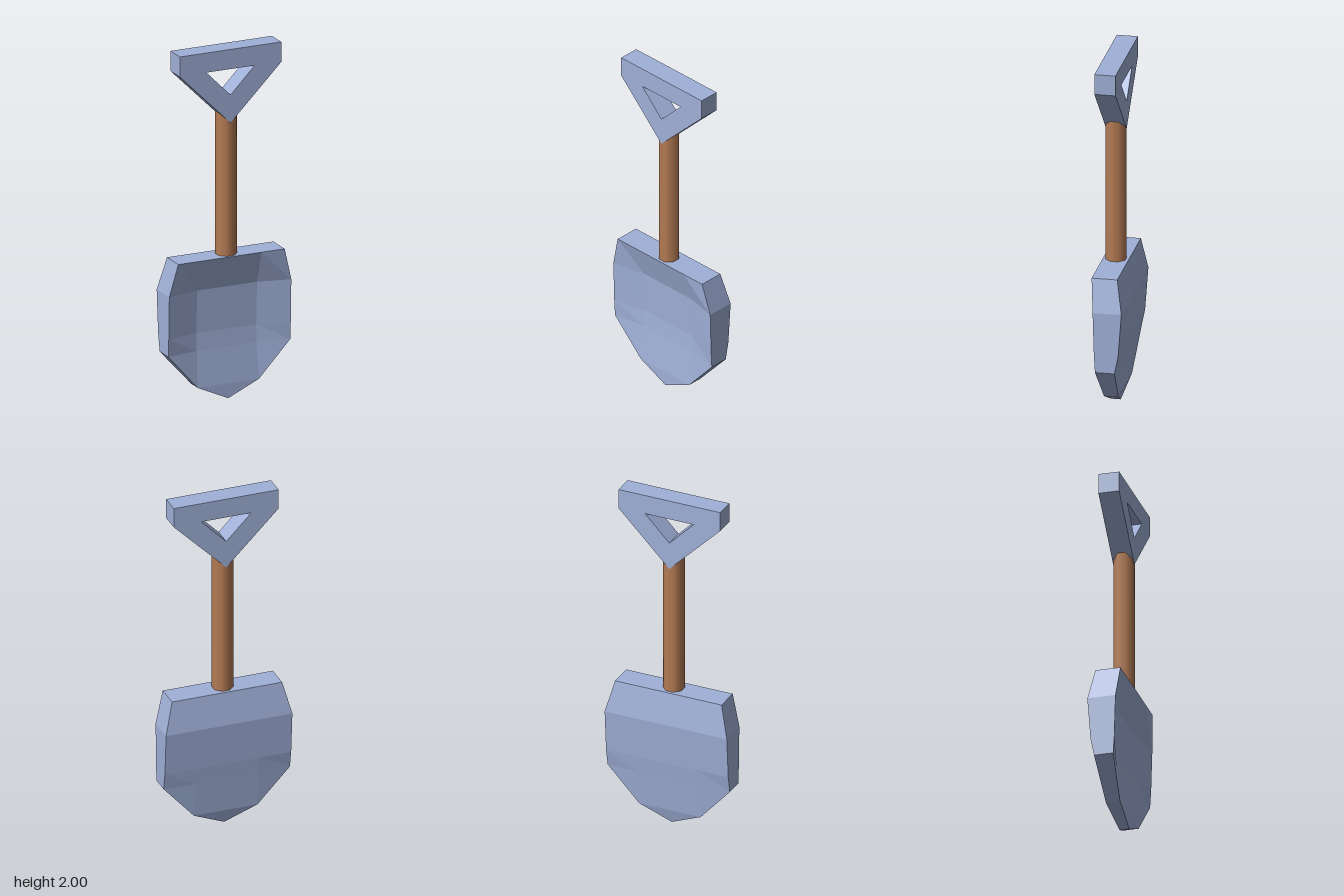
import * as THREE from 'three';

export function createModel() {
  const model = new THREE.Group();
  const steel = new THREE.MeshStandardMaterial({ color: 0xa0b0d8, flatShading: true });
  steel.name = 'blue steel';
  const wood = new THREE.MeshStandardMaterial({ color: 0xb57c54 });
  wood.name = 'brown wood';

  const add = (name, geometry, material) => {
    const mesh = new THREE.Mesh(geometry, material);
    mesh.name = name;
    model.add(mesh);
    return mesh;
  };

  // Triangular grip with a triangular opening
  const grip = new THREE.Shape([
    [-0.305, 2], [-0.305, 1.885], [0, 1.58], [0.305, 1.885], [0.305, 2],
  ].map(([x, y]) => new THREE.Vector2(x, y)));
  grip.holes.push(new THREE.Path([
    [-0.145, 1.888], [0.145, 1.888], [0, 1.74],
  ].map(([x, y]) => new THREE.Vector2(x, y))));
  const gripGeometry = new THREE.ExtrudeGeometry(grip, { depth: 0.117, bevelEnabled: false });
  gripGeometry.translate(0, 0, -0.043);
  add('grip', gripGeometry, steel);

  // Eight-sided shaft, flats facing the axes
  const shaftGeometry = new THREE.CylinderGeometry(0.059, 0.059, 0.86, 8);
  shaftGeometry.rotateY(Math.PI / 8);
  shaftGeometry.translate(0, 1.23, 0.016);
  add('shaft', shaftGeometry, wood);

  // Dished blade: [y, outer x, inner x, front z outer, front z inner, back z outer, back z inner]
  const rows = [
    [0.82, 0.32, 0.18, 0.086, 0.086, -0.056, -0.056],
    [0.635, 0.367, 0.18, 0.071, 0.03, -0.088, -0.088],
    [0.39, 0.367, 0.18, 0.064, 0.02, -0.07, -0.07],
    [0.29, 0.367, 0.18, 0.058, 0.025, -0.05, -0.058],
    [0.085, 0.185, 0.185, 0.045, 0.045, -0.035, -0.035],
    [0, 0, 0, 0.045, 0.045, -0.01, -0.01],
  ];
  // Each loop runs left to right across the front, then returns across the back
  const loops = rows.map(([y, xo, xi, fo, fi, bo, bi]) => [
    [-xo, y, fo], [-xi, y, fi], [xi, y, fi], [xo, y, fo],
    [xo, y, bo], [xi, y, bi], [-xi, y, bi], [-xo, y, bo],
  ].map((p) => new THREE.Vector3(...p)));

  const positions = [];
  const triangle = (a, b, c) => {
    if (new THREE.Triangle(a, b, c).getArea() < 1e-6) return;
    for (const p of [a, b, c]) positions.push(p.x, p.y, p.z);
  };
  for (let r = 0; r < loops.length - 1; r++) {
    const [top, bottom] = [loops[r], loops[r + 1]];
    for (let i = 0; i < 8; i++) {
      const j = (i + 1) % 8;
      triangle(top[i], bottom[i], bottom[j]);
      triangle(top[i], bottom[j], top[j]);
    }
  }
  // Flat upper rim
  const rim = loops[0];
  triangle(rim[0], rim[3], rim[4]);
  triangle(rim[0], rim[4], rim[7]);

  const bladeGeometry = new THREE.BufferGeometry();
  bladeGeometry.setAttribute('position', new THREE.Float32BufferAttribute(positions, 3));
  bladeGeometry.computeVertexNormals();
  add('blade', bladeGeometry, steel);

  return model;
}
